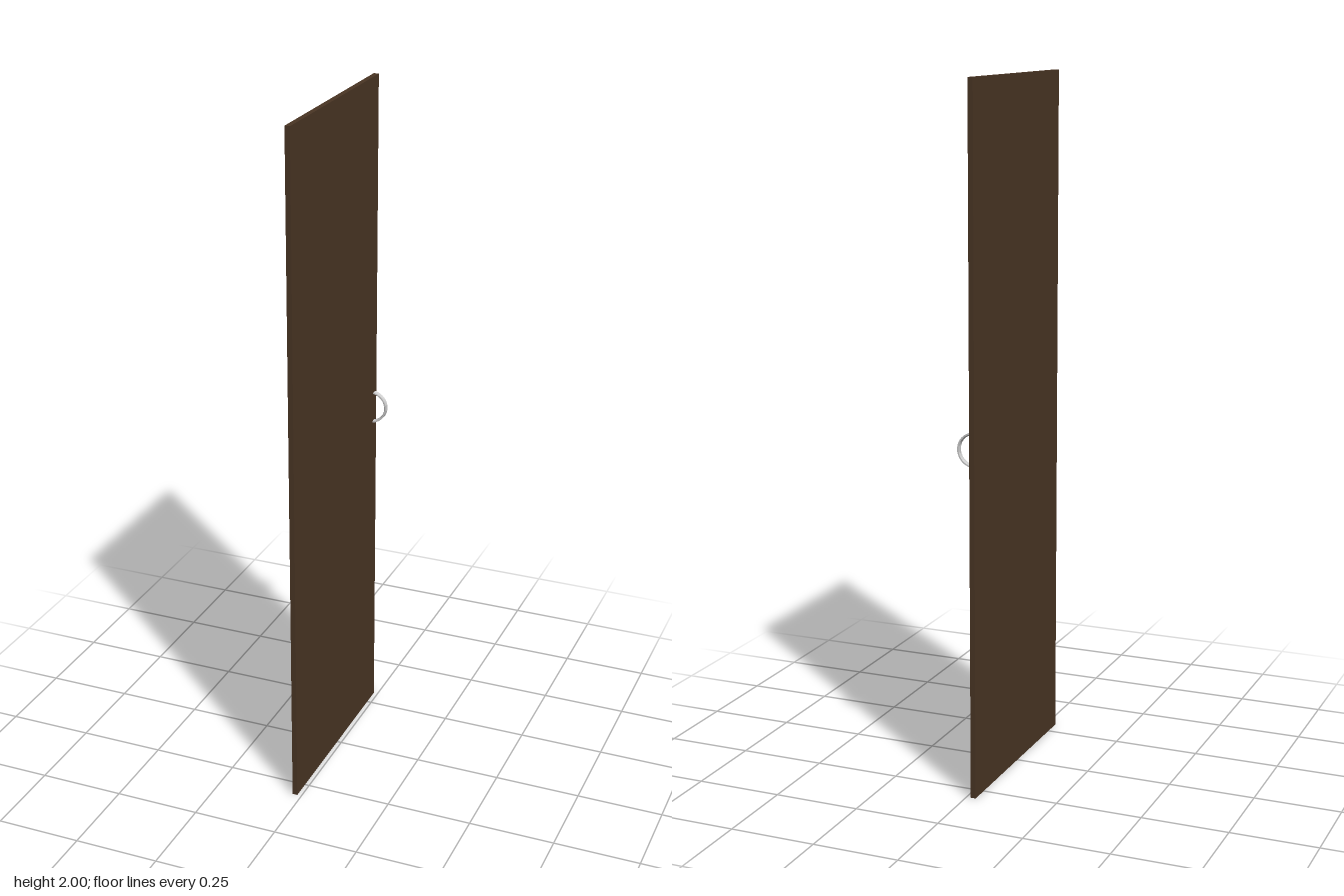
import * as THREE from 'three';
import { toCreasedNormals } from 'three/addons/utils/BufferGeometryUtils.js';

export function createModel() {
  const group = new THREE.Group();

  // Thin upright door panel
  const panel = new THREE.Mesh(
    new THREE.BoxGeometry(0.015, 2, 0.615),
    new THREE.MeshStandardMaterial({ color: 0x4a3524 })
  );
  panel.name = 'doorPanel';
  panel.position.set(-0.0205, 1, 0);
  group.add(panel);

  // Half-ring handle: a thin band, hollowed on its outer face, ends sunk in the panel
  const radius = 0.049, halfWidth = 0.008, dip = 0.003, thickness = 0.004, steps = 8;
  const outer = [], inner = [];
  for (let i = 0; i <= steps; i++) {
    const t = (i / steps) * 2 - 1;
    const r = radius - dip * (1 - t * t);
    outer.push(new THREE.Vector2(r, t * halfWidth));
    inner.unshift(new THREE.Vector2(r - thickness, t * halfWidth));
  }
  const band = new THREE.LatheGeometry([...outer, ...inner, outer[0].clone()], 40, 0, Math.PI);
  band.rotateX(Math.PI / 2);
  const handle = new THREE.Mesh(
    toCreasedNormals(band, 0.7),
    new THREE.MeshStandardMaterial({ color: 0xcccccc, side: THREE.DoubleSide })
  );
  handle.name = 'handle';
  handle.position.set(-0.021, 1.003, -0.288);
  group.add(handle);

  return group;
}
